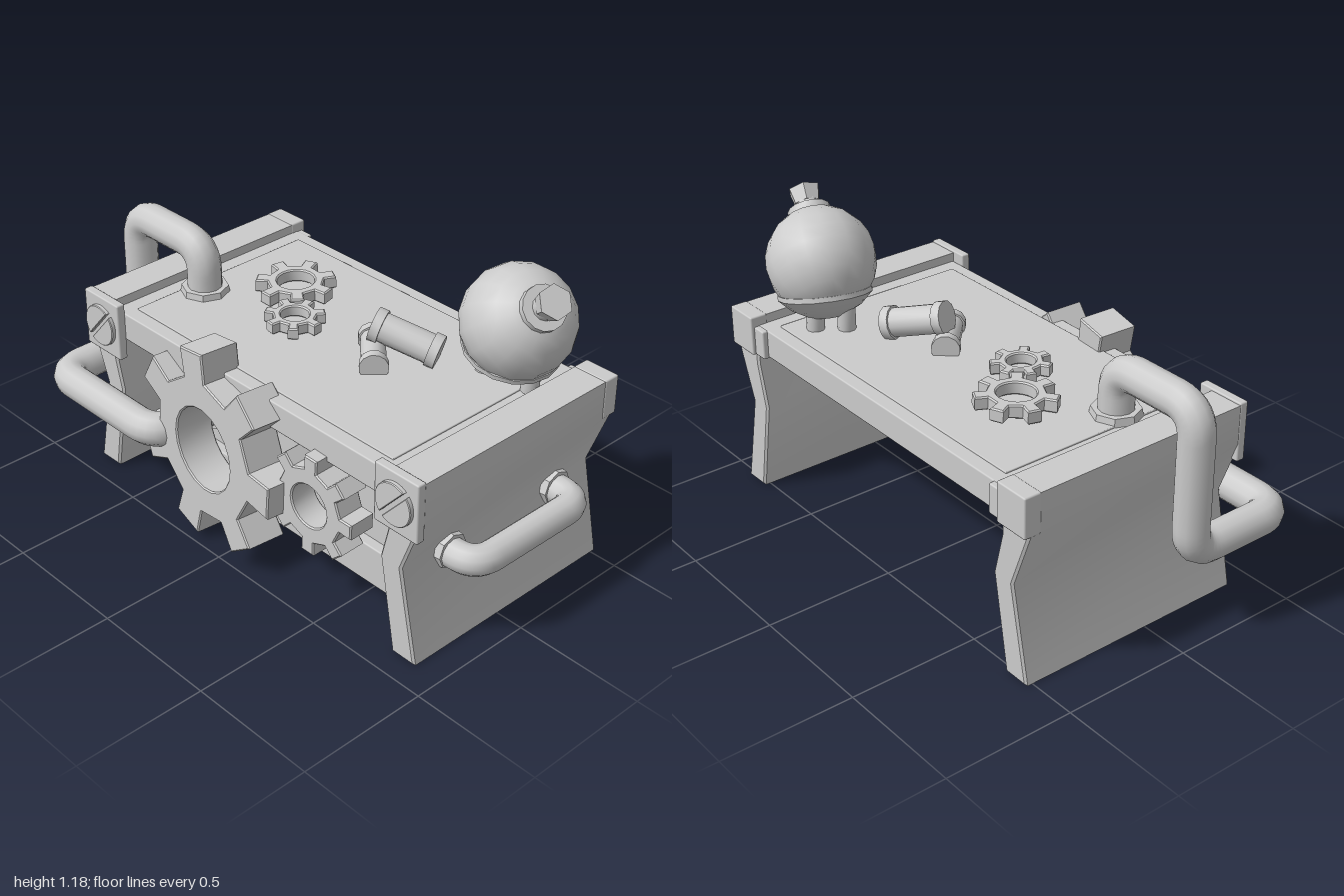
import * as THREE from 'three';
import { RoundedBoxGeometry } from 'three/addons/geometries/RoundedBoxGeometry.js';
import { toCreasedNormals } from 'three/addons/utils/BufferGeometryUtils.js';

const CX = 0.04; // middle of the bench, offset by the long pipe on one side
const UP = new THREE.Vector3(0, 1, 0);
const V = (x, y, z) => new THREE.Vector3(x, y, z);
const grey = new THREE.MeshStandardMaterial({ color: 0xcccccc });

function add(parent, name, geometry, x = 0, y = 0, z = 0) {
  const mesh = new THREE.Mesh(geometry, grey);
  mesh.name = name;
  mesh.position.set(x, y, z);
  parent.add(mesh);
  return mesh;
}

// Box given by its minimum and maximum corners
function box(parent, name, a, b, r = 0.006) {
  const s = a.map((v, i) => b[i] - v);
  return add(parent, name, new RoundedBoxGeometry(...s, 1, r), ...a.map((v, i) => (v + b[i]) / 2));
}

// Bevelled extrusion centred on z
function slab(shape, depth, bevel) {
  const g = new THREE.ExtrudeGeometry(shape, {
    depth: depth - 2 * bevel, bevelThickness: bevel, bevelSize: bevel,
    bevelOffset: -bevel, bevelSegments: 1, curveSegments: 10,
  });
  g.translate(0, 0, -depth / 2 + bevel);
  return toCreasedNormals(g, 0.6);
}

function gear(parent, name, teeth, rOut, rRoot, rHole, depth, phase, pos) {
  const pts = [];
  const step = (Math.PI * 2) / teeth;
  for (let i = 0; i < teeth; i++) {
    const a = phase + i * step;
    for (const [f, r] of [[-0.25, rRoot], [-0.19, rOut], [0.19, rOut], [0.25, rRoot]]) {
      pts.push(new THREE.Vector2(Math.cos(a + f * step) * r, Math.sin(a + f * step) * r));
    }
  }
  const shape = new THREE.Shape(pts);
  shape.holes.push(new THREE.Path().absarc(0, 0, rHole, 0, Math.PI * 2, true));
  return add(parent, name, slab(shape, depth, 0.005), ...pos);
}

// Pipe through corner points with rounded bends
function pipe(parent, name, points, radius, bend) {
  const path = new THREE.CurvePath();
  let from = points[0];
  for (let i = 1; i < points.length - 1; i++) {
    const p = points[i];
    const inPt = p.clone().add(points[i - 1].clone().sub(p).setLength(bend));
    const outPt = p.clone().add(points[i + 1].clone().sub(p).setLength(bend));
    path.add(new THREE.LineCurve3(from, inPt));
    path.add(new THREE.QuadraticBezierCurve3(inPt, p, outPt));
    from = outPt;
  }
  path.add(new THREE.LineCurve3(from, points[points.length - 1]));
  return add(parent, name, new THREE.TubeGeometry(path, 110, radius, 12, false));
}

// Capped cylinder running between two points
function rod(parent, name, a, b, r0, r1 = r0, sides = 12) {
  const d = b.clone().sub(a);
  const g = toCreasedNormals(new THREE.CylinderGeometry(r1, r0, d.length(), sides), 0.7);
  const mesh = add(parent, name, g, ...a.clone().add(b).multiplyScalar(0.5).toArray());
  mesh.quaternion.setFromUnitVectors(UP, d.normalize());
  return mesh;
}

// Rod with a flange at each end
function flangedRod(parent, name, a, b, r) {
  const group = new THREE.Group();
  group.name = name;
  const d = b.clone().sub(a).setLength(0.035);
  rod(group, 'shaft', a, b, r);
  rod(group, 'flange', a, a.clone().add(d), r * 1.15);
  rod(group, 'flange', b.clone().sub(d), b, r * 1.15);
  parent.add(group);
}

export function createModel() {
  const root = new THREE.Group();
  root.name = 'workbench';

  // Table top and the front panel set back beneath it
  box(root, 'tableTop', [CX - 0.74, 0.59, -0.515], [CX + 0.74, 0.7, 0.39]);
  box(root, 'topInset', [CX - 0.66, 0.69, -0.46], [CX + 0.66, 0.706, 0.335], 0.003);
  box(root, 'frontPanel', [CX - 0.72, 0.04, 0.14], [CX + 0.72, 0.6, 0.2]);
  box(root, 'lowerRail', [CX - 0.735, 0.035, 0.14], [CX + 0.735, 0.195, 0.24]);

  // Side panels, corner plates and slotted screws
  for (const s of [-1, 1]) {
    const outline = [[0.744, 0], [0.85, 0], [0.776, 0.365], [0.858, 0.585], [0.858, 0.735],
      [0.722, 0.735], [0.722, 0.54], [0.68, 0.37]].map(([x, y]) => new THREE.Vector2(s * x, y));
    add(root, 'sidePanel', slab(new THREE.Shape(outline), 0.935, 0.008), CX, 0, -0.06);
    const x = CX + s * 0.762;
    box(root, 'frontCornerPlate', [x - 0.098, 0.515, 0.39], [x + 0.098, 0.743, 0.425]);
    const cap = [CX + s * 0.72, CX + s * 0.861].sort((p, q) => p - q);
    box(root, 'backCornerCap', [cap[0], 0.585, -0.548], [cap[1], 0.738, -0.48]);
    box(root, 'backCornerPlate', [x - 0.098, 0.585, -0.535], [x + 0.098, 0.698, -0.5]);
    const screw = new THREE.Group();
    screw.name = 'slottedScrew';
    screw.position.set(x, 0.63, 0.43);
    screw.rotation.z = 0.85;
    for (const turn of [0, Math.PI]) {
      const half = new THREE.Shape().absarc(0, 0, 0.08, 0.1, Math.PI - 0.1);
      add(screw, 'screwHalf', slab(half, 0.022, 0.003)).rotation.z = turn;
    }
    root.add(screw);
  }

  // Front gears, the large one leaning slightly
  gear(root, 'largeGear', 7, 0.385, 0.275, 0.16, 0.155, 1.735, [-0.085, 0.41, 0.405])
    .rotation.set(-0.02, -0.08, 0);
  gear(root, 'smallGear', 8, 0.2, 0.148, 0.083, 0.11, 0.74, [0.41, 0.415, 0.385]).rotation.y = 0.03;

  // Loose gears on the table
  gear(root, 'looseGear', 7, 0.15, 0.105, 0.07, 0.05, 0.2, [-0.31, 0.738, -0.165])
    .rotation.set(-Math.PI / 2 + 0.03, 0, 0);
  gear(root, 'looseGearSmall', 7, 0.112, 0.08, 0.052, 0.045, 0.1, [-0.135, 0.735, 0])
    .rotation.set(-Math.PI / 2, 0.02, 0);

  // Loose rods, one leaning on the other
  flangedRod(root, 'lyingRod', V(0.13, 0.73, -0.13), V(0.295, 0.73, 0.025), 0.046);
  flangedRod(root, 'leaningRod', V(0.185, 0.82, -0.08), V(0.4, 0.75, -0.19), 0.055);

  // Long pipe from the front panel round to the table top
  pipe(root, 'longPipe', [V(-0.36, 0.345, 0.18), V(-0.36, 0.345, 0.48), V(-0.935, 0.345, 0.48),
    V(-0.935, 0.345, 0.068), V(-0.935, 0.885, 0.068), V(-0.555, 0.885, 0.068),
    V(-0.555, 0.69, 0.068)], 0.065, 0.1);
  rod(root, 'pipeCollar', V(-0.555, 0.69, 0.068), V(-0.555, 0.73, 0.068), 0.095, 0.088, 8);
  rod(root, 'pipeCollar', V(-0.36, 0.345, 0.19), V(-0.36, 0.345, 0.23), 0.095, 0.088, 8);

  // Side handle with collars
  pipe(root, 'sideHandle', [V(0.79, 0.335, 0.19), V(0.943, 0.335, 0.19), V(0.943, 0.335, -0.335),
    V(0.79, 0.335, -0.335)], 0.055, 0.085);
  for (const z of [0.19, -0.335]) {
    rod(root, 'handleCollar', V(0.8, 0.34, z), V(0.845, 0.34, z), 0.07, 0.065, 8);
  }

  // Round flask with a bowl, neck, stopper and feet
  const flask = new THREE.Group();
  flask.name = 'flask';
  flask.position.set(0.65, 0.94, -0.3);
  const neck = V(0.72, 0.65, 0.26).normalize();
  add(flask, 'globe', new THREE.SphereGeometry(0.204, 16, 12)).quaternion.setFromUnitVectors(UP, neck);
  const bowlPoints = [[0, -0.214], [0.07, -0.203], [0.13, -0.17], [0.176, -0.125], [0.176, -0.107], [0.15, -0.107]];
  const bowl = new THREE.LatheGeometry(bowlPoints.map(p => new THREE.Vector2(...p)), 16);
  add(flask, 'bowl', toCreasedNormals(bowl, 0.7))
    .quaternion.setFromUnitVectors(UP, V(0.28, 1, 0.09).normalize());
  const along = d => neck.clone().multiplyScalar(d);
  rod(flask, 'neckCollar', along(0.17), along(0.212), 0.08, 0.08, 14);
  rod(flask, 'neck', along(0.2), along(0.25), 0.045, 0.045);
  rod(flask, 'stopper', along(0.235), along(0.295), 0.05, 0.062, 6);
  for (const [x, z] of [[-0.12, 0.02], [-0.05, -0.07], [0.07, 0]]) {
    rod(flask, 'foot', V(x, -0.24, z), V(x, -0.13, z), 0.034, 0.034, 10);
  }
  root.add(flask);

  return root;
}
